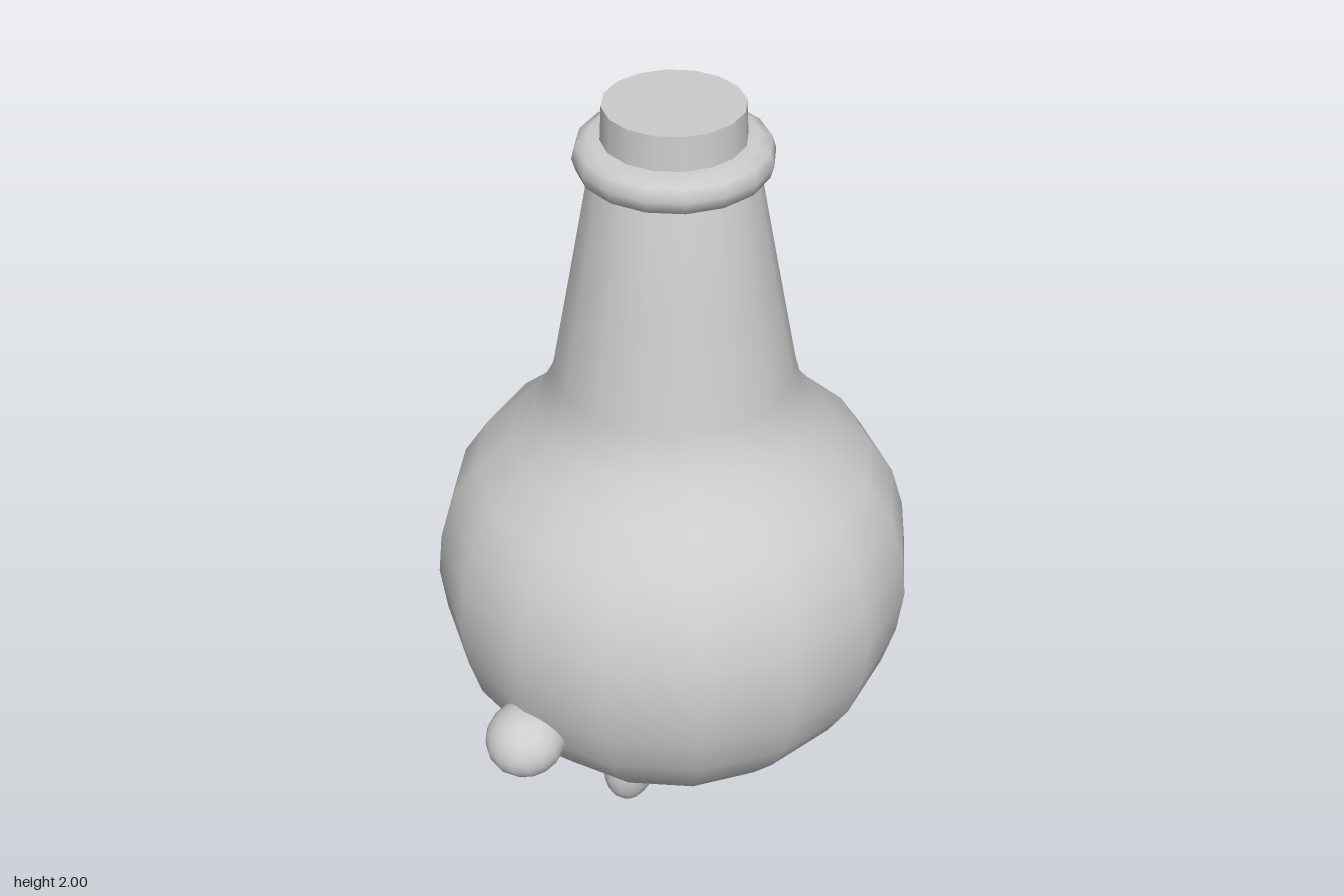
import * as THREE from 'three';

const SIDES = 16;
const stoneGrey = new THREE.MeshStandardMaterial({ color: 0xcccccc });
stoneGrey.name = 'stoneGrey';

function add(group, name, geometry, x = 0, y = 0, z = 0) {
  const mesh = new THREE.Mesh(geometry, stoneGrey);
  mesh.name = name;
  mesh.position.set(x, y, z);
  group.add(mesh);
  return mesh;
}

function lathe(points) {
  return new THREE.LatheGeometry(points.map(([r, y]) => new THREE.Vector2(r, y)), SIDES);
}

export function createModel() {
  const group = new THREE.Group();
  group.name = 'flask';

  // Round belly flowing into a tapered neck
  add(group, 'flaskBody', lathe([
    [0, 0.125], [0.11, 0.13], [0.22, 0.165], [0.33, 0.22], [0.42, 0.3], [0.5, 0.395],
    [0.555, 0.49], [0.586, 0.6], [0.6, 0.72], [0.588, 0.83], [0.555, 0.94], [0.49, 1.04],
    [0.4, 1.12], [0.34, 1.195], [0.31, 1.25], [0.294, 1.31], [0.245, 1.57], [0.195, 1.84], [0.17, 1.87],
  ]));

  // Rounded lip around the mouth
  add(group, 'lipRing', lathe([
    [0.15, 1.835], [0.195, 1.83], [0.222, 1.845], [0.231, 1.875], [0.222, 1.905], [0.195, 1.918], [0.15, 1.918],
  ]));

  // Stopper
  add(group, 'stopper', new THREE.CylinderGeometry(0.163, 0.17, 0.14, SIDES), 0, 1.93, 0);

  // Stubby hands and feet, mirrored front to back
  for (const [side, s] of [['front', 1], ['back', -1]]) {
    const hand = add(group, side + 'Hand', new THREE.SphereGeometry(1, 16, 12), 0, 0.51, s * 0.585);
    hand.scale.set(0.1, 0.085, 0.1);
    hand.rotation.x = s * 0.3;
    const foot = add(group, side + 'Foot', new THREE.SphereGeometry(1, 16, 12), 0, 0.13, s * 0.188);
    foot.scale.set(0.066, 0.13, 0.087);
  }
  return group;
}
